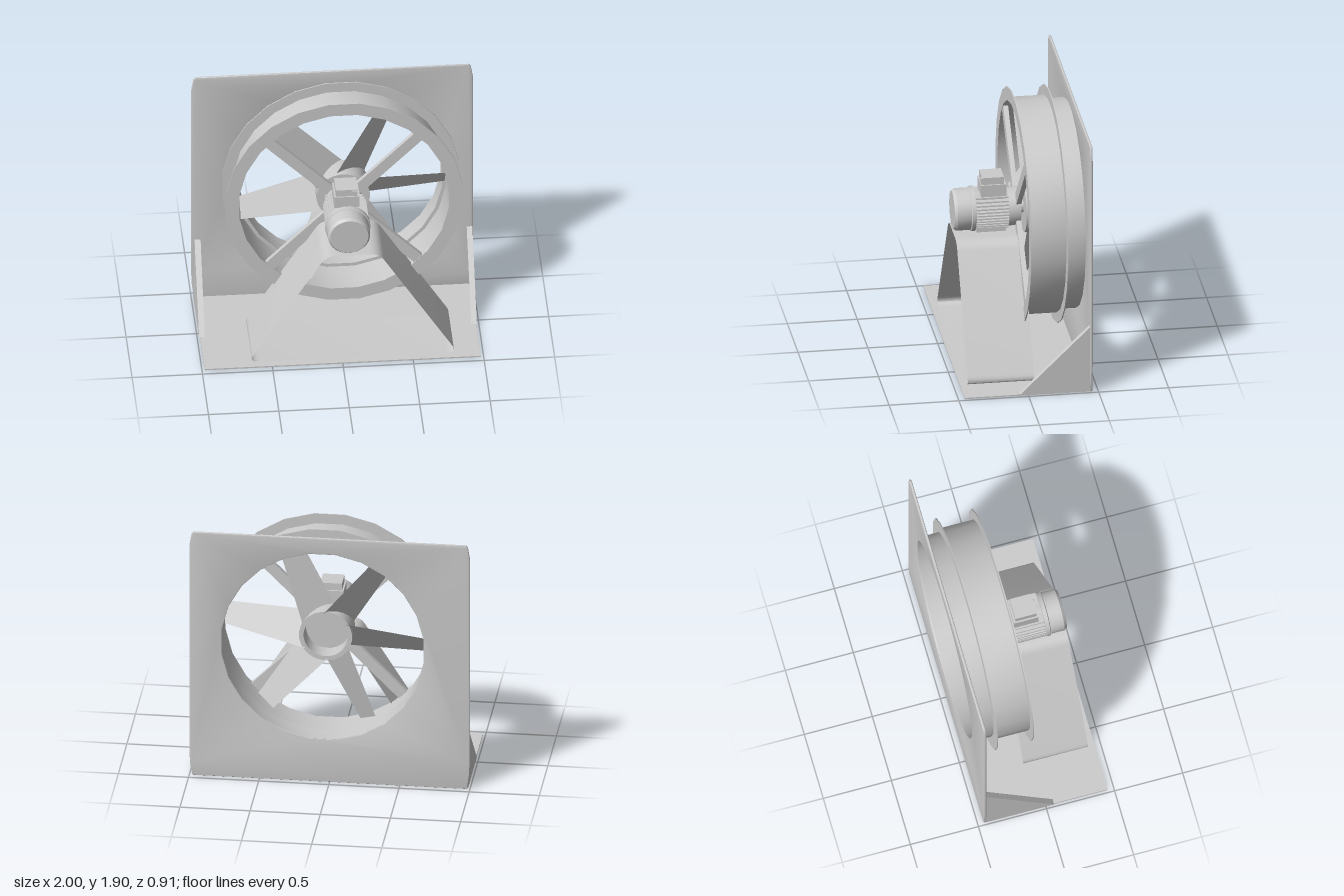
import * as THREE from 'three';
import { toCreasedNormals } from 'three/addons/utils/BufferGeometryUtils.js';

const CX = 0.05, CY = 1.055;          // fan axis
const SIDES = 24;
const HALF = Math.PI / SIDES;
const grey = new THREE.MeshStandardMaterial({ color: 0xcccccc });
const sheetGrey = new THREE.MeshStandardMaterial({ color: 0xcccccc, side: THREE.DoubleSide });

function add(parent, name, geometry, material = grey) {
  const mesh = new THREE.Mesh(geometry, material);
  mesh.name = name;
  parent.add(mesh);
  return mesh;
}

function box(parent, name, w, h, d, x, y, z) {
  const mesh = add(parent, name, new THREE.BoxGeometry(w, h, d));
  mesh.position.set(x, y, z);
  return mesh;
}

// Profile of [radius, z] pairs turned around the fan axis
function turned(parent, name, profile) {
  const pts = profile.map(([r, z]) => new THREE.Vector2(r, z));
  const geo = new THREE.LatheGeometry(pts, SIDES, HALF).rotateX(Math.PI / 2);
  return add(parent, name, toCreasedNormals(geo, 0.5));
}

// Thin surface between two lines of points
function ribbon(a, b) {
  const pos = [], index = [];
  a.forEach((p, i) => {
    pos.push(...p, ...b[i]);
    if (i) index.push(2 * i - 2, 2 * i - 1, 2 * i, 2 * i, 2 * i - 1, 2 * i + 1);
  });
  const geo = new THREE.BufferGeometry();
  geo.setAttribute('position', new THREE.Float32BufferAttribute(pos, 3));
  geo.setIndex(index);
  geo.computeVertexNormals();
  return toCreasedNormals(geo, 0.5);
}

function buildPanel(group) {
  const outline = [[-0.98, 0], [0.98, 0], [0.995, 0.1], [1, 0.2], [1, 1.79], [0.985, 1.885],
    [0.97, 1.9], [-0.97, 1.9], [-0.985, 1.885], [-1, 1.79], [-1, 0.2], [-0.995, 0.1]];
  const shape = new THREE.Shape(outline.map(([x, y]) => new THREE.Vector2(x, y)));
  const hole = [];
  for (let i = 0; i < SIDES; i++) {
    const t = HALF * (2 * i + 1);
    hole.push(new THREE.Vector2(CX + 0.725 * Math.cos(t), CY + 0.725 * Math.sin(t)));
  }
  shape.holes.push(new THREE.Path(hole));
  // Rounded sheet edge, kept inside the outline
  const geo = new THREE.ExtrudeGeometry(shape, {
    depth: 0.008, bevelThickness: 0.006, bevelSize: 0.01, bevelOffset: -0.01, bevelSegments: 2,
  });
  add(group, 'backPanel', toCreasedNormals(geo, 0.7)).position.z = -0.453;
  box(group, 'basePlate', 1.96, 0.01, 0.9, 0, 0.005, 0.005);
}

// Each gusset: x of its outer edge at the foot and at the top, x of the flange's inner edge likewise
function buildGussets(group) {
  const gussets = [
    ['leftGusset', 0.985, 0.995, 0.945, 0.955],
    ['rightGusset', -0.987, -0.977, -0.946, -0.934],
  ];
  for (const [name, footX, topX, footIn, topIn] of gussets) {
    const gusset = new THREE.Group();
    gusset.name = name;
    group.add(gusset);
    const foot = [footX, 0.01, 0.06], top = [topX, 0.51, -0.445], corner = [footX, 0.01, -0.445];
    add(gusset, 'gussetWeb', ribbon([foot, top], [corner, corner]), sheetGrey);
    add(gusset, 'gussetFlange',
      ribbon([foot, top], [[footIn, 0.01, 0.06], [topIn, 0.51, -0.445]]), sheetGrey);
  }
}

// Bent sheet stand under the motor, a closed loop swept along z
function buildStand(group) {
  const mid = 0.075, half = [];
  const bend = (...p) => {
    const c = new THREE.QuadraticBezierCurve(...p.map(([x, y]) => new THREE.Vector2(x, y)));
    half.push(...c.getPoints(6));
  };
  bend([0.12, 0.897], [0.19, 0.897], [0.225, 0.84]);
  bend([0.7, 0.085], [0.75, 0.016], [0.66, 0.016]);
  const line = [...half.map((p) => [mid + p.x, p.y]),
    ...half.slice().reverse().map((p) => [mid - p.x, p.y])];
  line.push(line[0]);
  const at = (z) => line.map(([x, y]) => [x, y, z]);
  add(group, 'motorStand', ribbon(at(-0.07), at(0.405)), sheetGrey);
}

function buildHousing(axis) {
  turned(axis, 'fanHousing', [
    [0.725, -0.455], [0.748, -0.455], [0.748, -0.305], [0.848, -0.305], [0.848, -0.297],
    [0.772, -0.297], [0.772, -0.041], [0.848, -0.041], [0.848, -0.033], [0.75, -0.033],
    [0.75, -0.3], [0.725, -0.3], [0.725, -0.455]]);
  for (let i = 0; i < 4; i++) {
    const t = Math.PI / 4 + i * Math.PI / 2;
    const spoke = box(axis, 'spoke', 0.63, 0.08, 0.035,
      0.43 * Math.cos(t), 0.43 * Math.sin(t), -0.054);
    spoke.rotation.z = t;
  }
}

function buildFan(axis) {
  const fan = new THREE.Group();
  fan.name = 'fan';
  axis.add(fan);
  turned(fan, 'hub', [[0, -0.14], [0.157, -0.14], [0.157, -0.28], [0.19, -0.28], [0.19, -0.1], [0, -0.1]]);
  // Flat pitched blade, its root following the hub
  const p = (x, y) => [x, y, -0.18 + 0.7 * (y - 0.05)];
  const root = [], tip = [];
  for (let i = 0; i <= 6; i++) {
    const y = -0.1 + 0.23 * i / 6;
    root.push(p(Math.sqrt(0.178 ** 2 - y * y), y));
    tip.push(p(0.728, 0.022 + 0.135 * i / 6));
  }
  const blade = ribbon(root, tip);
  for (let i = 0; i < 6; i++) {
    add(fan, 'blade', blade, sheetGrey).rotation.z = i * Math.PI / 3;
  }
}

function buildMotor(axis) {
  const motor = new THREE.Group();
  motor.name = 'motor';
  axis.add(motor);
  turned(motor, 'shaft', [[0, -0.11], [0.05, -0.11], [0.05, -0.05], [0, -0.05]]);
  turned(motor, 'mountFlange', [[0, -0.07], [0.137, -0.07], [0.137, 0.015], [0.11, 0.025], [0, 0.025]]);
  turned(motor, 'motorBody', [[0, 0.015], [0.125, 0.015], [0.125, 0.26], [0, 0.26]]);
  turned(motor, 'fanCover', [[0, 0.252], [0.161, 0.252], [0.161, 0.28], [0.151, 0.285],
    [0.151, 0.385], [0.136, 0.405], [0, 0.405]]);
  // Cooling fins on both sides
  for (let i = 0; i < 11; i++) {
    const y = -0.115 + i * 0.023;
    const w = 2 * Math.sqrt(0.155 ** 2 - y * y);
    box(motor, 'coolingFin', w, 0.011, 0.23, 0, y, 0.133);
  }
  box(motor, 'motorFoot', 0.14, 0.06, 0.21, 0, -0.13, 0.135);
  box(motor, 'terminalBoxBase', 0.18, 0.11, 0.18, 0, 0.155, 0.12);
  box(motor, 'terminalBoxLid', 0.155, 0.055, 0.155, 0, 0.235, 0.122);
  box(motor, 'cableEntry', 0.04, 0.04, 0.012, 0.055, 0.235, 0.203);
}

export function createModel() {
  const model = new THREE.Group();
  model.name = 'industrialFan';
  buildPanel(model);
  buildGussets(model);
  buildStand(model);
  const axis = new THREE.Group();
  axis.name = 'fanAssembly';
  axis.position.set(CX, CY, 0);
  model.add(axis);
  buildHousing(axis);
  buildFan(axis);
  buildMotor(axis);
  return model;
}
